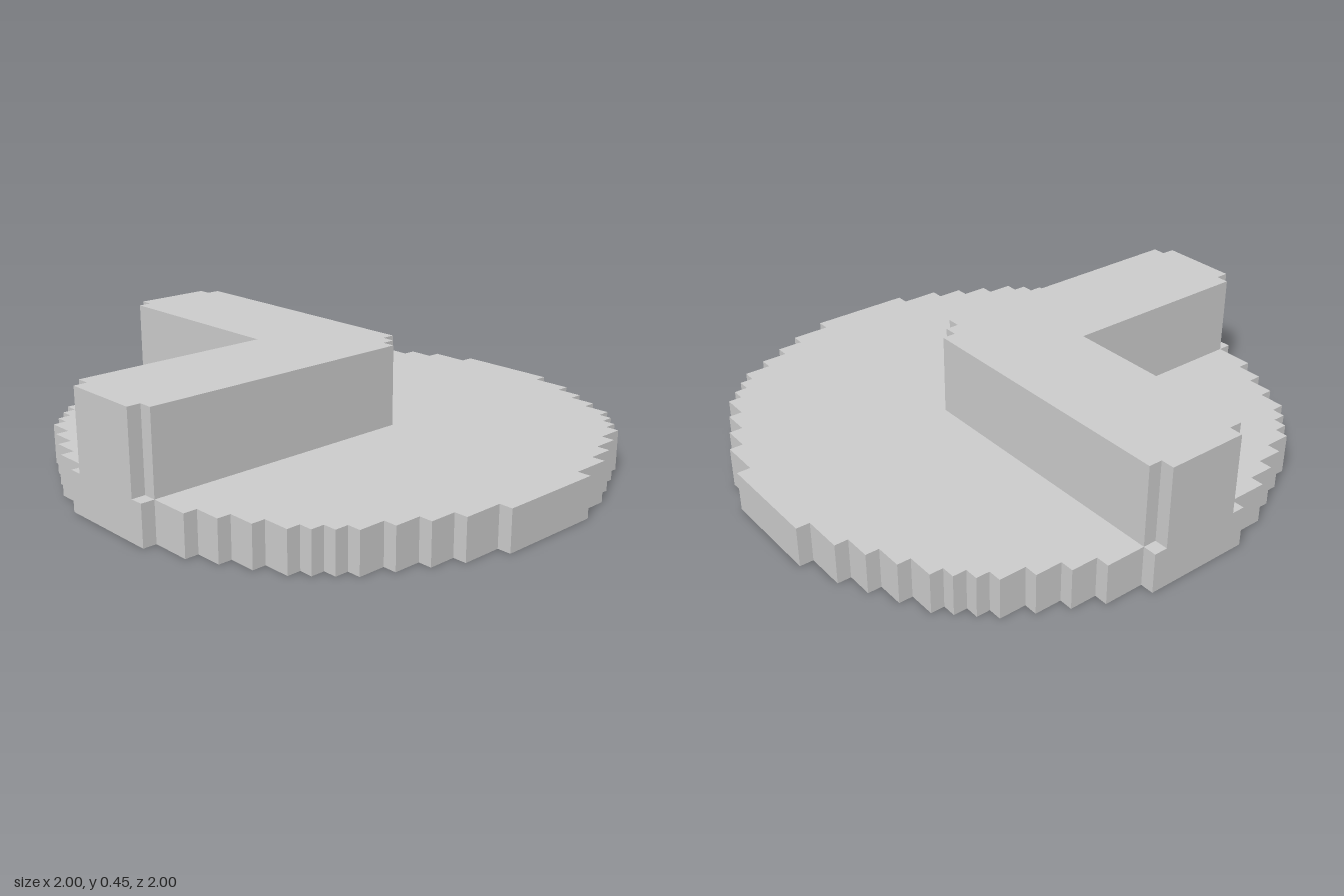
import * as THREE from 'three';

const material = new THREE.MeshStandardMaterial({ color: 0xcccccc, flatShading: true });

// Extrudes a plan outline of [x, z] points upward from y = bottom.
function slab(name, outline, bottom, height) {
  const shape = new THREE.Shape(outline.map(([x, z]) => new THREE.Vector2(x, -z)));
  const geometry = new THREE.ExtrudeGeometry(shape, { depth: height, bevelEnabled: false });
  geometry.rotateX(-Math.PI / 2);
  geometry.translate(0, bottom, 0);
  const mesh = new THREE.Mesh(geometry, material);
  mesh.name = name;
  return mesh;
}

// Stepped disc outline: one quadrant of stair corners, turned four times.
function steppedCircle() {
  const half = [[1, 0.2], [0.95, 0.35], [0.9, 0.45], [0.85, 0.55], [0.8, 0.65], [0.75, 0.7]];
  const steps = [...half, ...half.map(([a, b]) => [b, a]).reverse()];
  const quadrant = [];
  steps.forEach(([x, z], i) => {
    quadrant.push([x, z]);
    if (i < steps.length - 1) quadrant.push([steps[i + 1][0], z]);
  });
  const outline = [];
  let turned = quadrant;
  for (let q = 0; q < 4; q++) {
    outline.push(...turned);
    turned = turned.map(([x, z]) => [-z, x]);
  }
  return outline;
}

export function createModel() {
  const group = new THREE.Group();
  group.name = 'steppedDiscWithCornerWall';

  group.add(slab('base', steppedCircle(), 0, 0.15));

  // L-shaped wall with notched ends and a stepped outer corner
  const wall = [
    [-1, -0.15], [-0.95, -0.15], [-0.95, -0.2],
    [0.1, -0.2], [0.1, -0.15], [0.15, -0.15], [0.15, -0.1], [0.2, -0.1],
    [0.2, 0.95], [0.15, 0.95], [0.15, 1], [-0.15, 1], [-0.15, 0.95], [-0.2, 0.95],
    [-0.2, 0.2], [-0.95, 0.2], [-0.95, 0.15], [-1, 0.15],
  ];
  group.add(slab('cornerWall', wall, 0.15, 0.3));

  return group;
}
